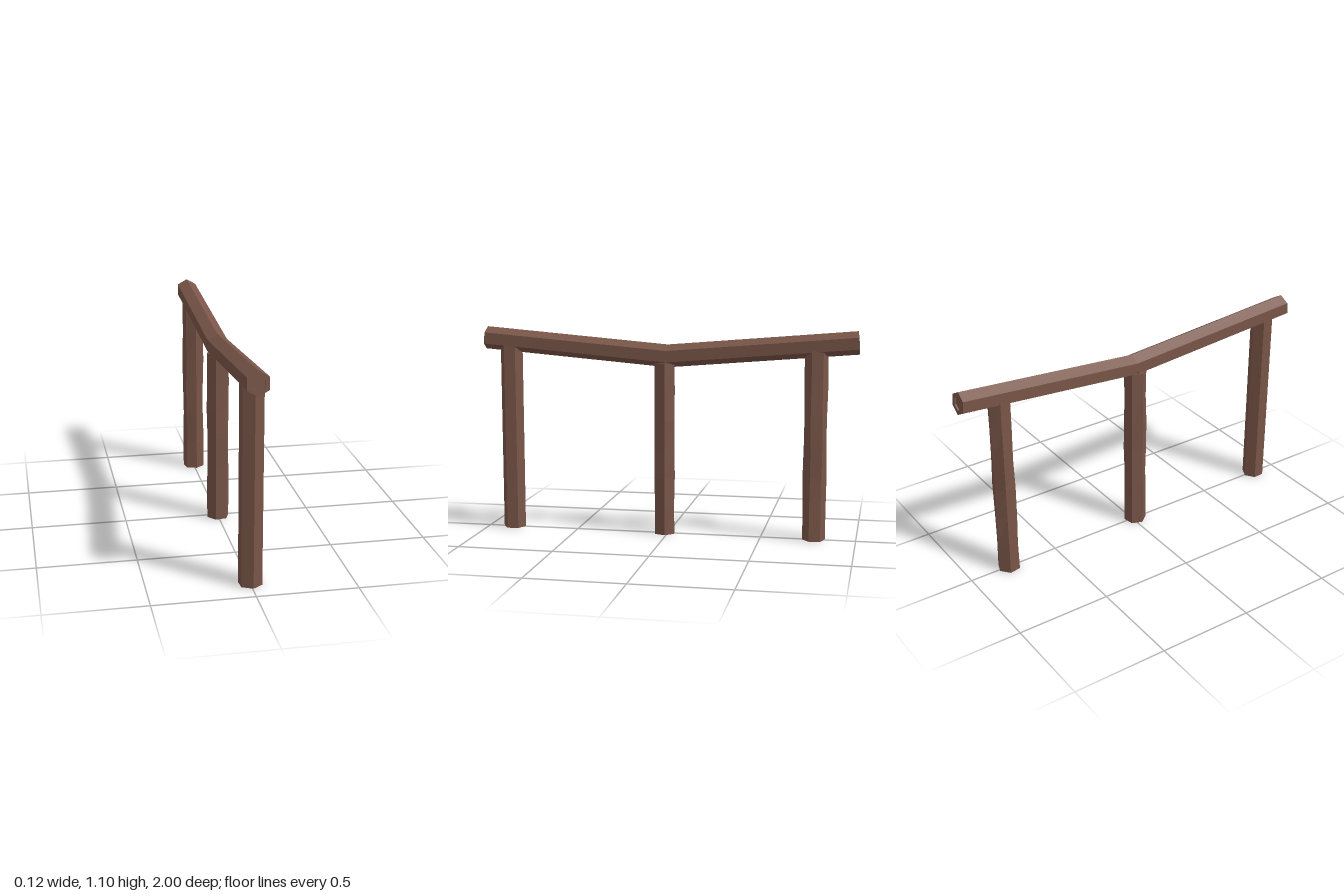
import * as THREE from 'three';

const SIDES = 6;
const RADIUS = 0.06;

// Split shared corners so every face is shaded flat.
function faceted(geometry) {
  const g = geometry.toNonIndexed();
  g.computeVertexNormals();
  return g;
}

// Hexagonal rail running along +z, with a shallow recess in each end.
function railGeometry(length) {
  const inner = 0.036, depth = 0.008;
  const profile = [
    [0, depth], [inner, depth], [inner, 0], [RADIUS, 0],
    [RADIUS, length], [inner, length], [inner, length - depth], [0, length - depth],
  ].map(([r, y]) => new THREE.Vector2(r, y));
  return faceted(new THREE.LatheGeometry(profile, SIDES).rotateX(Math.PI / 2));
}

// Hexagonal post standing on the ground; wobble makes its edges look hewn.
function postGeometry(height, turn, wobble, seed) {
  const g = new THREE.CylinderGeometry(RADIUS, RADIUS, height, SIDES, 6, false, turn);
  g.translate(0, height / 2, 0);
  const p = g.attributes.position;
  for (let i = 0; i < p.count; i++) {
    const x = p.getX(i), y = p.getY(i), z = p.getZ(i);
    const ring = Math.round((y / height) * 6);
    if (ring === 0 || ring === 6) continue;
    const corner = (Math.round((Math.atan2(x, z) - turn) / (Math.PI / 3)) + SIDES) % SIDES;
    const s = 1 + wobble * Math.sin(seed + corner * 2.3 + ring * 1.9);
    p.setXYZ(i, x * s, y, z * s);
  }
  return faceted(g);
}

export function createModel() {
  const model = new THREE.Group();
  model.name = 'fence';
  const wood = new THREE.MeshStandardMaterial({ color: 0x795548 });
  wood.name = 'brown wood';

  function add(name, geometry, y, z) {
    const mesh = new THREE.Mesh(geometry, wood);
    mesh.name = name;
    mesh.position.set(0, y, z);
    model.add(mesh);
    return mesh;
  }

  // Two rails rising from the middle towards the ends
  const rail = railGeometry(0.998);
  const tilt = 0.084;
  add('frontRail', rail, 0.955, 0).rotation.x = -tilt;
  add('backRail', rail, 0.955, 0).rotation.set(tilt, Math.PI, 0, 'XYZ');

  // Three posts
  const deg = Math.PI / 180;
  add('frontPost', postGeometry(1.0, 4 * deg, 0, 0), 0, 0.858);
  add('middlePost', postGeometry(0.92, -20 * deg, 0.05, 1), 0, 0.018);
  add('backPost', postGeometry(1.0, 10 * deg, 0.05, 4), 0, -0.78);

  return model;
}
